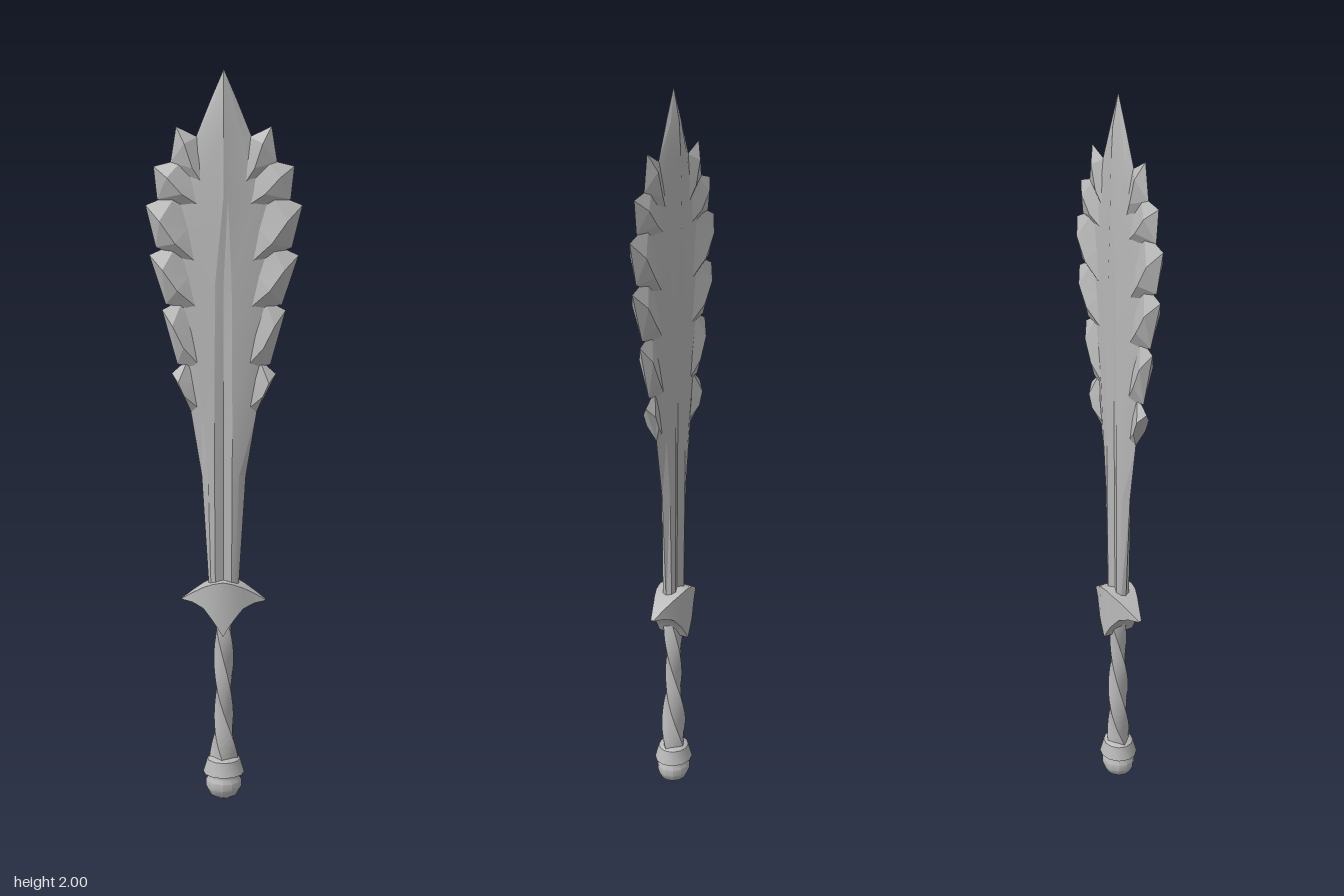
import * as THREE from 'three';
import { toCreasedNormals } from 'three/addons/utils/BufferGeometryUtils.js';

const steel = new THREE.MeshStandardMaterial({ color: 0xb8b8b8, side: THREE.DoubleSide });
steel.name = 'grey steel';

function part(name, positions, crease) {
  const g = new THREE.BufferGeometry();
  g.setAttribute('position', new THREE.Float32BufferAttribute(positions, 3));
  const mesh = new THREE.Mesh(toCreasedNormals(g, crease), steel);
  mesh.name = name;
  return mesh;
}

// Joins equal rings of [x, y, z] points and closes both ends.
function loft(name, rings, crease = 0.5) {
  const out = [];
  const tri = (a, b, c) => out.push(...a, ...b, ...c);
  const n = rings[0].length;
  for (let i = 0; i < rings.length - 1; i++) {
    for (let j = 0; j < n; j++) {
      const k = (j + 1) % n;
      tri(rings[i][j], rings[i][k], rings[i + 1][k]);
      tri(rings[i][j], rings[i + 1][k], rings[i + 1][j]);
    }
  }
  const first = rings[0], last = rings[rings.length - 1];
  for (let j = 1; j < n - 1; j++) {
    tri(first[0], first[j + 1], first[j]);
    tri(last[0], last[j], last[j + 1]);
  }
  return part(name, out, crease);
}

// Blade core: grooved spine that turns into a ridge at the point.
function bladeCore() {
  // y, half width, valley x, valley z, rim x, rim z, centre z
  const stations = [
    [0.60, 0.040, 0.034, 0.014, 0.022, 0.020, 0.011],
    [0.93, 0.060, 0.042, 0.014, 0.024, 0.021, 0.012],
    [1.10, 0.088, 0.058, 0.013, 0.024, 0.021, 0.013],
    [1.30, 0.110, 0.075, 0.011, 0.023, 0.021, 0.014],
    [1.45, 0.125, 0.085, 0.010, 0.022, 0.020, 0.016],
    [1.67, 0.125, 0.085, 0.010, 0.012, 0.021, 0.025],
    [1.83, 0.073, 0.050, 0.009, 0.010, 0.018, 0.021],
    [1.92, 0.036, 0.025, 0.007, 0.008, 0.013, 0.016],
    [2.00, 0.0006, 0.0004, 0.0002, 0.0002, 0.0004, 0.0005],
  ];
  return loft('bladeCore', stations.map(([y, w, v, zv, r, zr, zc]) => [
    [w, y, 0], [v, y, -zv], [r, y, -zr], [0, y, -zc], [-r, y, -zr], [-v, y, -zv],
    [-w, y, 0], [-v, y, zv], [-r, y, zr], [0, y, zc], [r, y, zr], [v, y, zv],
  ]), 0.2);
}

// Leaf tooth: sharp outer edge, raised curved ridge, slope down to the core.
function leaf(side, [tip, base, root, top, height]) {
  const out = [];
  const mix = (a, b, t) => [a[0] + (b[0] - a[0]) * t, a[1] + (b[1] - a[1]) * t];
  const ridgeOuter = mix(tip, root, 0.27);
  const ridgeInner = mix(tip, root, 0.62);
  ridgeInner[0] += 0.008;
  ridgeInner[1] -= 0.004;
  const inner = mix(top, root, 0.5);
  for (const face of [1, -1]) {
    const p = ([x, y], z) => new THREE.Vector3(x * side, y, z * face);
    const T = p(tip, 0), B = p(base, 0), U = p(top, 0), R = p(root, 0.008);
    const M = p(ridgeOuter, height), N = p(ridgeInner, height), I = p(inner, 0.007);
    const faces = [[R, B, N], [B, T, M], [B, M, N], [T, U, M], [U, I, M], [I, N, M], [I, R, N]];
    for (const [a, b, c] of faces) {
      const normal = b.clone().sub(a).cross(c.clone().sub(a));
      const order = normal.z * face > 0 ? [a, b, c] : [a, c, b];
      order.forEach((v) => out.push(v.x, v.y, v.z));
    }
  }
  return part(side > 0 ? 'leftLeaf' : 'rightLeaf', out, 0.1);
}

// Crescent guard, thickest at the middle.
function guard() {
  // x, top y, bottom y, half depth
  const half = [
    [0, 0.64, 0.488, 0.047], [0.012, 0.638, 0.508, 0.046], [0.03, 0.634, 0.535, 0.043],
    [0.055, 0.623, 0.565, 0.033], [0.085, 0.605, 0.578, 0.019], [0.116, 0.584, 0.582, 0.005],
  ];
  const all = [...half.slice(1).reverse().map(([x, ...r]) => [-x, ...r]), ...half];
  return loft('guard', all.map(([x, t, b, h]) => [
    [x, t, -h * 0.9], [x, t, h * 0.9], [x, b, h], [x, b, -h],
  ]));
}

// Twisted grip, swelling towards the pommel.
function grip() {
  const rings = [];
  for (let i = 0; i <= 24; i++) {
    const t = i / 24, ring = [];
    const radius = 0.041 - 0.016 * Math.sin(Math.min(t * 1.5, 1) * Math.PI / 2) + 0.004 * t;
    const turn = -t * Math.PI * 1.5;
    for (let j = 0; j < 8; j++) {
      const a = (j / 8) * Math.PI * 2;
      const lobe = radius * (j % 2 ? 0.8 : 1);
      const x = Math.cos(a) * lobe, z = -Math.sin(a) * lobe * 0.85;
      ring.push([
        x * Math.cos(turn) + z * Math.sin(turn), 0.115 + t * 0.45,
        -(x * Math.sin(-turn)) * -1 * -1 + z * Math.cos(turn),
      ]);
    }
    // Keep each ring a pure rotation about the grip axis.
    rings.push(ring.map((p, j) => {
      const a = (j / 8) * Math.PI * 2, lobe = radius * (j % 2 ? 0.8 : 1);
      const x = Math.cos(a) * lobe, s = Math.sin(a) * lobe * 0.85;
      return [x * Math.cos(turn) - s * Math.sin(turn), p[1], -(x * Math.sin(turn) + s * Math.cos(turn))];
    }));
  }
  return loft('grip', rings, 0.4);
}

// Rounded pommel with a flared collar.
function pommel() {
  const profile = [
    [0, 0], [0.022, 0.004], [0.04, 0.015], [0.05, 0.035], [0.05, 0.055], [0.043, 0.066],
    [0.043, 0.073], [0.058, 0.078], [0.046, 0.118], [0.034, 0.125], [0, 0.125],
  ].map(([x, y]) => new THREE.Vector2(x, y));
  const mesh = new THREE.Mesh(toCreasedNormals(new THREE.LatheGeometry(profile, 12), 0.6), steel);
  mesh.name = 'pommel';
  mesh.scale.z = 0.92;
  return mesh;
}

export function createModel() {
  const model = new THREE.Group();
  model.name = 'leafSword';
  const blade = new THREE.Group();
  blade.name = 'blade';
  blade.add(bladeCore());
  // tip, outer base, root, upper inner corner, ridge height
  const leaves = [
    [[0.125, 1.857], [0.140, 1.765], [0.042, 1.690], [0.068, 1.830], 0.018],
    [[0.185, 1.755], [0.176, 1.670], [0.050, 1.645], [0.105, 1.775], 0.020],
    [[0.207, 1.655], [0.180, 1.545], [0.066, 1.500], [0.120, 1.690], 0.024],
    [[0.198, 1.525], [0.155, 1.395], [0.063, 1.380], [0.120, 1.560], 0.024],
    [[0.165, 1.380], [0.125, 1.235], [0.058, 1.225], [0.108, 1.410], 0.021],
    [[0.140, 1.210], [0.088, 1.105], [0.072, 1.120], [0.095, 1.250], 0.019],
  ];
  for (const side of [1, -1]) for (const l of leaves) blade.add(leaf(side, l));
  model.add(blade, guard(), grip(), pommel());
  return model;
}
